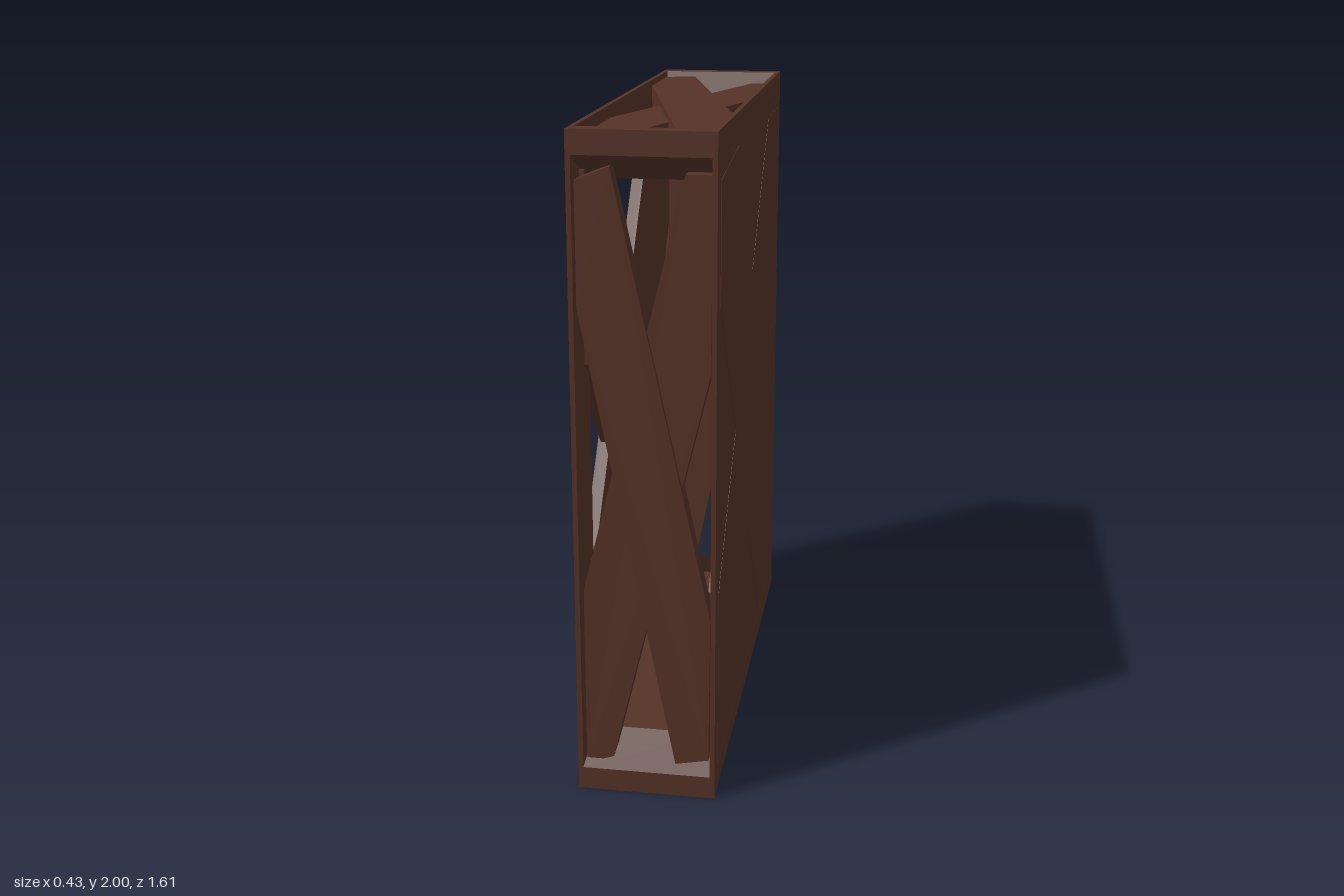
import * as THREE from 'three';

// Half sizes and centre of the crate; all parts are shaped in a unit cube and scaled to it
const HALF = new THREE.Vector3(0.2085, 1, 0.805);
const CENTRE = new THREE.Vector3(0.003, 1, 0);

// Each side: across and up directions, brace heights (lower, upper plank) and thickness
const SIDES = [
  { name: 'front', u: [1, 0, 0], v: [0, 1, 0], braces: [0.965, 0.985], thick: 0.07 },
  { name: 'back', u: [-1, 0, 0], v: [0, 1, 0], braces: [0.965, 0.985], thick: 0.07 },
  { name: 'top', u: [1, 0, 0], v: [0, 0, -1], braces: [0.965, 0.985], thick: 0.07 },
  { name: 'right', u: [0, 0, 1], v: [0, 1, 0], braces: [1.0, 1.045], thick: 0.18 },
  { name: 'left', u: [0, 0, -1], v: [0, 1, 0], braces: [0.994, 0.998], thick: 0.15, panel: 0.99 },
  { name: 'bottom', u: [1, 0, 0], v: [0, 0, 1], panel: 0.997 },
];

// Diagonal planks with trimmed ends
const RISING = [[-0.9, -0.93], [-0.5, -0.9], [0.9, 0.32], [0.92, 0.88], [0.56, 0.88], [-0.87, -0.33], [-0.9, -0.36]];
const FALLING = [[-0.9, 0.5], [0.42, -0.9], [0.9, -0.88], [0.92, -0.42], [-0.43, 0.9], [-0.9, 0.86]];

// Matrix from a side's unit space to the crate
function sideMatrix({ u, v }) {
  const a = new THREE.Vector3(...u), b = new THREE.Vector3(...v);
  const turn = new THREE.Matrix4().makeBasis(a, b, a.clone().cross(b));
  return new THREE.Matrix4().makeTranslation(CENTRE)
    .multiply(new THREE.Matrix4().makeScale(HALF.x, HALF.y, HALF.z))
    .multiply(turn);
}

// Square border with a bevel sloping in to the inner edge of the beams
function frameGeometry() {
  const corners = [[-1, -1], [1, -1], [1, 1], [-1, 1]];
  const rings = [[1, 1], [0.93, 1], [0.85, 0.85]]; // half width, height
  const positions = [];
  for (let r = 0; r < 2; r++) {
    for (let i = 0; i < 4; i++) {
      const at = (ring, k) => {
        const [s, h] = rings[ring], c = corners[k % 4];
        return [c[0] * s, c[1] * s, h];
      };
      const [a, b, c, d] = [at(r, i), at(r, i + 1), at(r + 1, i + 1), at(r + 1, i)];
      positions.push(...a, ...b, ...c, ...a, ...c, ...d);
    }
  }
  const geometry = new THREE.BufferGeometry();
  geometry.setAttribute('position', new THREE.Float32BufferAttribute(positions, 3));
  return geometry;
}

function plankGeometry(points, height, thick) {
  const shape = new THREE.Shape(points.map(([x, y]) => new THREE.Vector2(x, y)));
  return new THREE.ExtrudeGeometry(shape, { depth: thick, bevelEnabled: false })
    .translate(0, 0, height - thick);
}

export function createModel() {
  const crate = new THREE.Group();
  crate.name = 'crate';
  const wood = new THREE.MeshStandardMaterial({ color: 0x553227 });
  wood.name = 'dark brown wood';

  for (const side of SIDES) {
    const group = new THREE.Group();
    group.name = side.name + 'Side';
    const matrix = sideMatrix(side);
    const add = (name, geometry) => {
      geometry.applyMatrix4(matrix);
      geometry.computeVertexNormals();
      const mesh = new THREE.Mesh(geometry, wood);
      mesh.name = side.name + name;
      group.add(mesh);
    };

    add('Frame', frameGeometry());
    if (side.braces) {
      add('RisingBrace', plankGeometry(RISING, side.braces[0], side.thick));
      add('FallingBrace', plankGeometry(FALLING, side.braces[1], side.thick));
    }
    // Closed sides have a board almost flush with the frame
    if (side.panel) {
      const depth = 0.06;
      add('Panel', new THREE.BoxGeometry(1.87, 1.87, depth).translate(0, 0, side.panel - depth / 2));
    }
    crate.add(group);
  }
  return crate;
}
